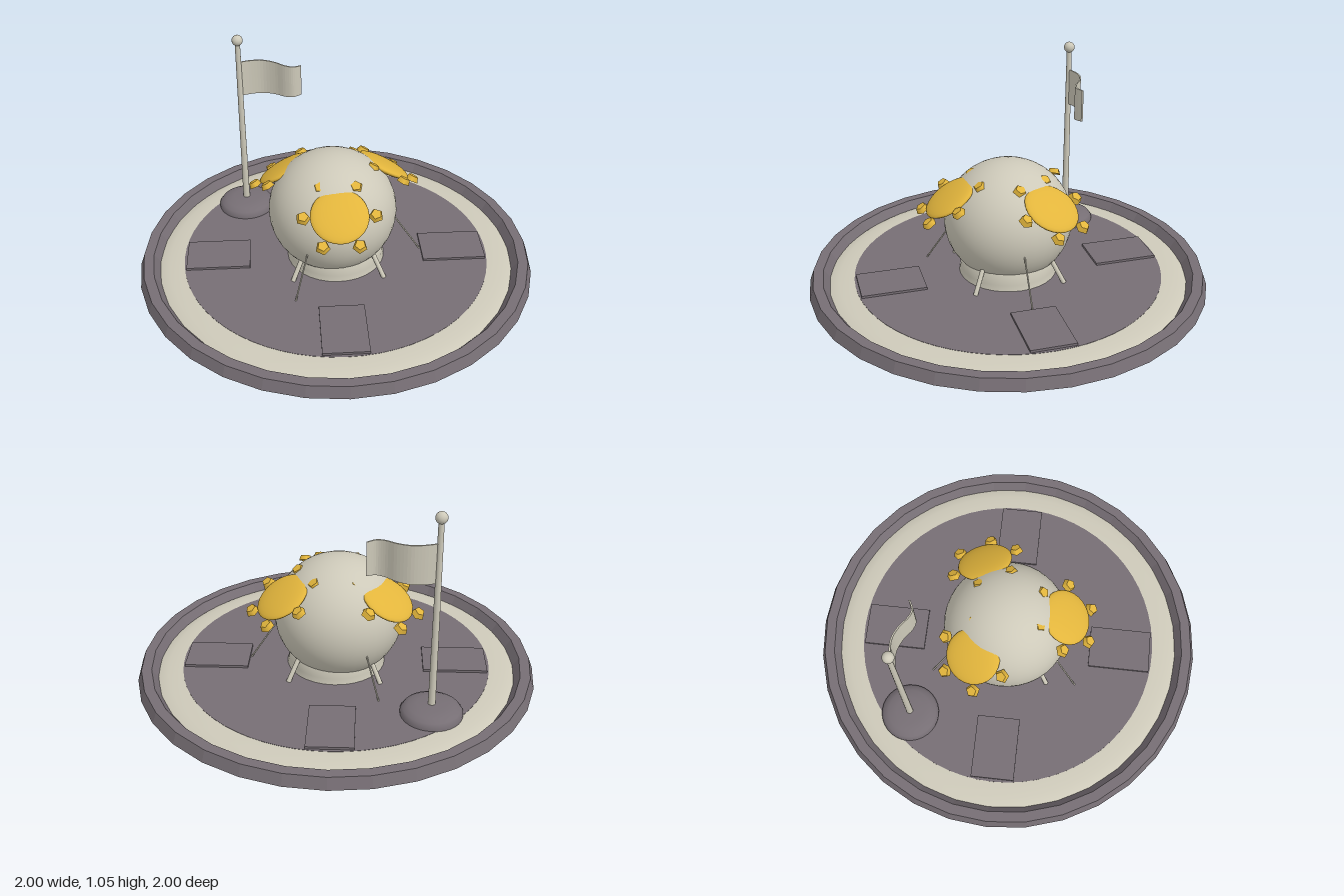
import * as THREE from 'three';

export function createModel() {
  const model = new THREE.Group();
  const cream = new THREE.MeshStandardMaterial({ color: 0xcdc9b9 });
  const grey = new THREE.MeshStandardMaterial({ color: 0x766e74 });
  const greyFlat = grey.clone();
  greyFlat.flatShading = true;
  const yellow = new THREE.MeshStandardMaterial({ color: 0xe2b53c });
  cream.name = 'cream';
  grey.name = 'stone grey';
  greyFlat.name = 'stone grey faceted';
  yellow.name = 'gold';

  const add = (name, geometry, material, x = 0, y = 0, z = 0, parent = model) => {
    const mesh = new THREE.Mesh(geometry, material);
    mesh.name = name;
    mesh.position.set(x, y, z);
    parent.add(mesh);
    return mesh;
  };
  const lathe = (points, segments) =>
    new THREE.LatheGeometry(points.map(([r, y]) => new THREE.Vector2(r, y)), segments);

  // Straight rod between two points
  const rod = (name, from, to, radius) => {
    const a = new THREE.Vector3(...from);
    const b = new THREE.Vector3(...to);
    const mesh = add(name, new THREE.CylinderGeometry(radius, radius, a.distanceTo(b), 8), cream);
    mesh.position.copy(a).add(b).multiplyScalar(0.5);
    mesh.quaternion.setFromUnitVectors(new THREE.Vector3(0, 1, 0), b.sub(a).normalize());
  };

  // Round tray: faceted rim, cream border and floor
  add('rim', lathe([[0.9, 0], [1, 0], [0.98, 0.055], [0.93, 0.055], [0.895, 0.004], [0.9, 0]], 32), greyFlat);
  add('border', lathe([[0.91, 0.003], [0.89, 0.016], [0.85, 0.025], [0.8, 0.03], [0.76, 0.031]], 64), cream);
  add('floor', new THREE.CylinderGeometry(0.775, 0.775, 0.031, 64), grey, 0, 0.0165);
  add('underside', new THREE.CylinderGeometry(0.91, 0.91, 0.003, 32), grey, 0, 0.0017);

  // Four floor pads
  for (let i = 0; i < 4; i++) {
    const a = (i * Math.PI) / 2;
    const pad = add('floorPad', new THREE.BoxGeometry(0.22, 0.016, 0.32), grey,
      0.6 * Math.sin(a), 0.036, 0.6 * Math.cos(a));
    pad.rotation.y = a;
  }

  // Round body on its collar
  add('collar', lathe([[0.25, 0.02], [0.24, 0.06], [0.24, 0.14], [0.2, 0.15]], 32), cream);
  add('body', new THREE.SphereGeometry(0.32, 40, 28), cream, -0.015, 0.305, -0.005).scale.y = 0.953;

  // Four short legs and three thin feelers
  for (let i = 0; i < 4; i++) {
    const a = Math.PI / 4 + (i * Math.PI) / 2;
    const c = Math.cos(a), s = Math.sin(a);
    rod('shortLeg', [0.24 * c, 0.15, 0.24 * s], [0.32 * c, 0.03, 0.32 * s], 0.012);
  }
  for (let i = 0; i < 3; i++) {
    const a = (i * Math.PI * 2) / 3;
    const c = Math.cos(a), s = Math.sin(a);
    rod('feeler', [0.285 * c, 0.26, 0.285 * s], [0.435 * c, 0.03, 0.435 * s], 0.004);
  }

  // Three tilted gold shells, each with six knobs
  for (let i = 0; i < 3; i++) {
    const turn = new THREE.Group();
    turn.name = 'shellMount';
    turn.rotation.y = (i * Math.PI * 2) / 3;
    model.add(turn);
    const shell = new THREE.Group();
    shell.name = 'shell';
    shell.position.set(0, 0.46, 0.29);
    shell.rotation.x = 0.56;
    turn.add(shell);
    add('dome', new THREE.SphereGeometry(0.14, 28, 14), yellow, 0, 0, 0, shell).scale.y = 0.2;
    for (let k = 0; k < 6; k++) {
      const a = (k * Math.PI) / 3;
      const knob = add('knob', new THREE.CylinderGeometry(0.026, 0.036, 0.026, 5).toNonIndexed(), yellow,
        0.172 * Math.cos(a), 0, 0.172 * Math.sin(a), shell);
      knob.rotation.y = -a - Math.PI / 2;
    }
  }

  // Flagpole with domed foot and ball finial
  const px = -0.463, pz = -0.463;
  add('poleFoot', lathe([[0.148, 0.02], [0.148, 0.045], [0.135, 0.063], [0.11, 0.076],
    [0.07, 0.084], [0, 0.086]], 32), grey, px, 0, pz);
  add('pole', new THREE.CylinderGeometry(0.013, 0.018, 0.96, 16), cream, px, 0.53, pz);
  add('finial', new THREE.SphereGeometry(0.028, 16, 12), cream, px, 1.023, pz);

  // Waving flag: outline of a curved strip, extruded upward and narrowed at the free end
  const wave = new THREE.CatmullRomCurve3([[-0.458, -0.463], [-0.4, -0.48], [-0.34, -0.482], [-0.28, -0.458],
    [-0.23, -0.422], [-0.19, -0.411], [-0.148, -0.43]].map(([x, z]) => new THREE.Vector3(x, -z, 0)));
  const line = wave.getPoints(24);
  const outline = [
    ...line.map(p => new THREE.Vector2(p.x, p.y + 0.004)),
    ...line.reverse().map(p => new THREE.Vector2(p.x, p.y - 0.004)),
  ];
  const flag = new THREE.ExtrudeGeometry(new THREE.Shape(outline), { depth: 0.19, bevelEnabled: false });
  flag.rotateX(-Math.PI / 2);
  const pos = flag.attributes.position;
  for (let i = 0; i < pos.count; i++) {
    const t = (pos.getX(i) + 0.458) / 0.31;
    const y = pos.getY(i) - 0.095;
    pos.setY(i, 0.808 + y * (1 - 0.14 * t * t));
  }
  flag.computeVertexNormals();
  add('flag', flag, cream);

  return model;
}
